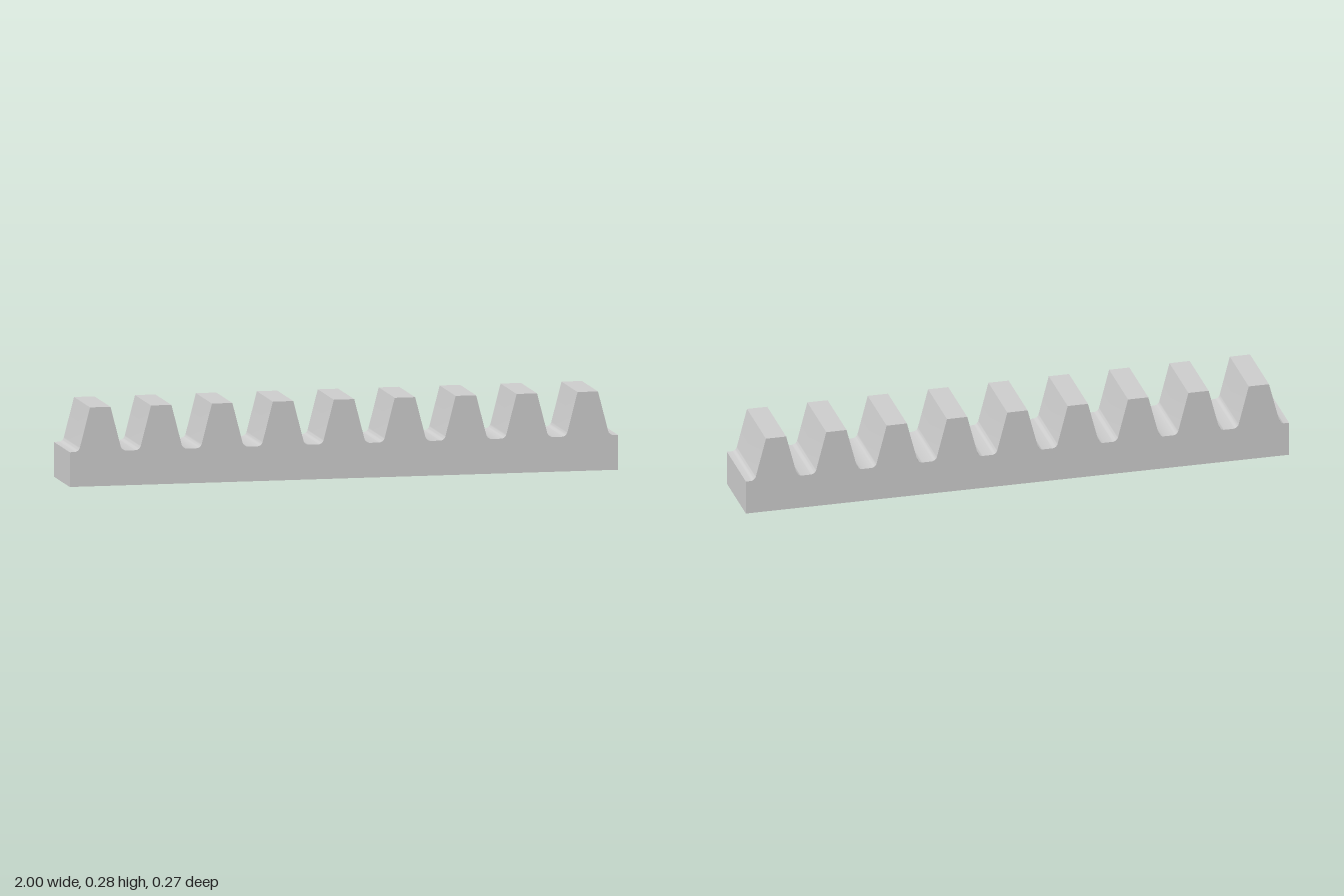
import * as THREE from 'three';
import { toCreasedNormals } from 'three/addons/utils/BufferGeometryUtils.js';

// Straight gear rack: nine trapezoid teeth with rounded roots on a bar
const TEETH = 9;
const LENGTH = 2;
const DEPTH = 0.266;
const PITCH = LENGTH / TEETH;
const MODULE = PITCH / Math.PI;
const ANGLE = THREE.MathUtils.degToRad(14.5); // flank lean from vertical
const ROOT = 0.125;
const TIP = ROOT + 2.25 * MODULE;
const FILLET = 0.3 * MODULE;

// Right half of one tooth, from tip corner down to the root, about x = 0
function halfTooth() {
  const tipHalf = PITCH / 4 - MODULE * Math.tan(ANGLE);
  const rootHalf = tipHalf + (TIP - ROOT) * Math.tan(ANGLE);
  const sweep = Math.PI / 2 - ANGLE;
  const cx = rootHalf + FILLET * Math.tan(sweep / 2);
  const cy = ROOT + FILLET;
  const points = [[tipHalf, TIP]];
  const steps = 8;
  for (let i = 0; i <= steps; i++) {
    const a = Math.PI + ANGLE + (sweep * i) / steps;
    points.push([cx + FILLET * Math.cos(a), cy + FILLET * Math.sin(a)]);
  }
  return points;
}

export function createModel() {
  const group = new THREE.Group();
  group.name = 'gearRack';
  const steel = new THREE.MeshStandardMaterial({ color: 0xcccccc });
  steel.name = 'light grey';

  // Outline runs along the teeth from left to right, then closes under the bar
  const right = halfTooth();
  const left = right.map(([x, y]) => [-x, y]).reverse();
  const outline = [new THREE.Vector2(-LENGTH / 2, 0), new THREE.Vector2(-LENGTH / 2, ROOT)];
  for (let i = 0; i < TEETH; i++) {
    const centre = -LENGTH / 2 + (i + 0.5) * PITCH;
    for (const [x, y] of [...left, ...right]) outline.push(new THREE.Vector2(centre + x, y));
  }
  outline.push(new THREE.Vector2(LENGTH / 2, ROOT), new THREE.Vector2(LENGTH / 2, 0));

  const geometry = new THREE.ExtrudeGeometry(new THREE.Shape(outline), {
    depth: DEPTH,
    bevelEnabled: false,
  });
  geometry.translate(0, 0, -DEPTH / 2);

  // Smooth root fillets, sharp tips and ends
  const rack = new THREE.Mesh(toCreasedNormals(geometry, 0.4), steel);
  rack.name = 'toothedBar';
  group.add(rack);
  return group;
}
